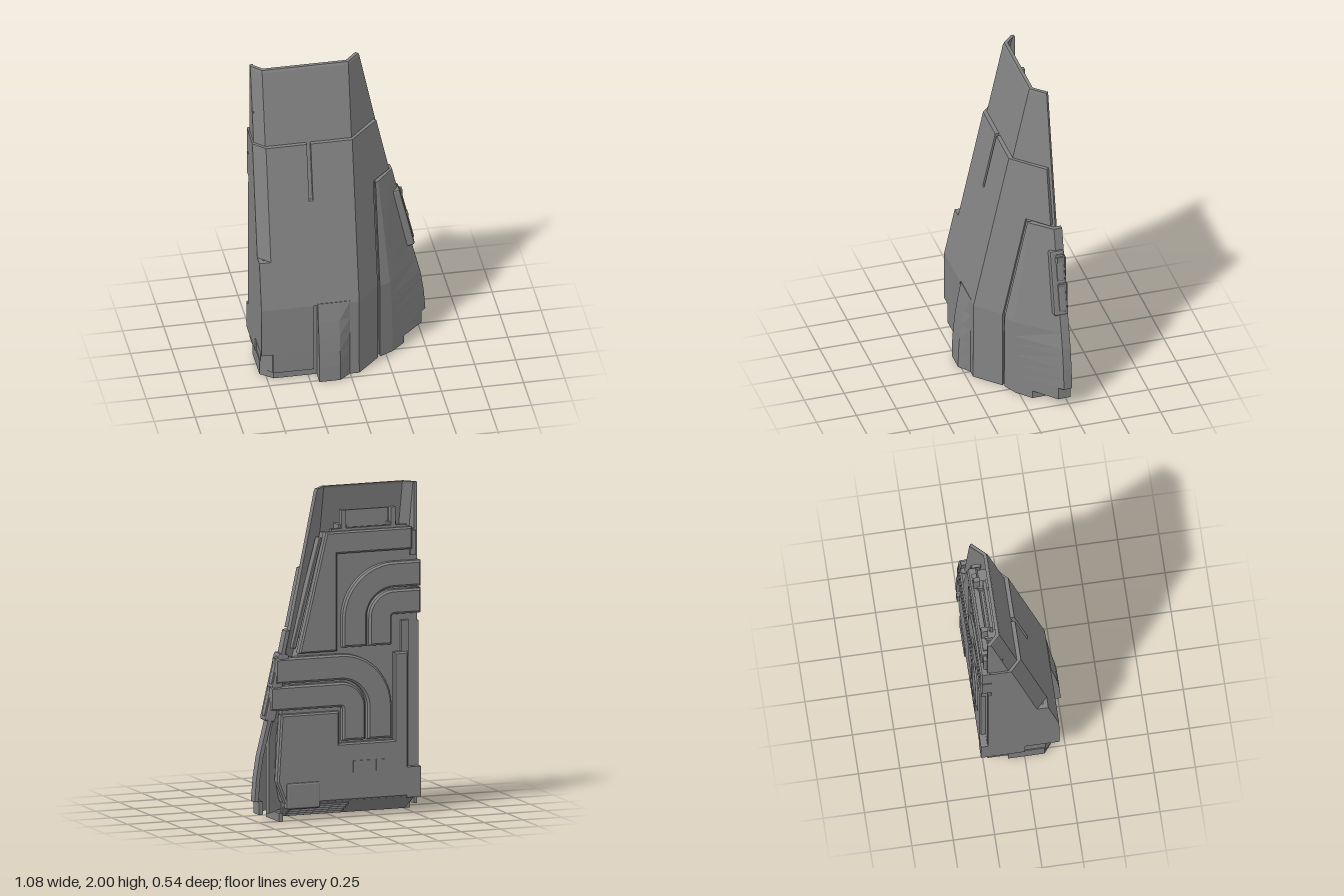
import * as THREE from 'three';
import { RoundedBoxGeometry } from 'three/addons/geometries/RoundedBoxGeometry.js';

const mat = new THREE.MeshStandardMaterial({ color: 0x828282, flatShading: true, side: THREE.DoubleSide });

export function createModel() {
  const group = new THREE.Group();
  const add = (name, geo) => {
    const m = new THREE.Mesh(geo, mat);
    m.name = name;
    group.add(m);
    return m;
  };
  const box = (name, x0, x1, y0, y1, z0, z1) =>
    add(name, new THREE.BoxGeometry(x1 - x0, y1 - y0, z1 - z0)
      .translate((x0 + x1) / 2, (y0 + y1) / 2, (z0 + z1) / 2));

  // Bent sheet: cols(y) gives the outer [x, z] line at each height, thickened inwards by t
  function plate(name, ys, cols, t = 0.028) {
    const rings = ys.map((y) => {
      const p = cols(y);
      const n = p.slice(1).map((q, i) => new THREE.Vector2(p[i][1] - q[1], q[0] - p[i][0]).normalize());
      const inner = p.map((q, i) => {
        const a = n[Math.max(i - 1, 0)], b = n[Math.min(i, n.length - 1)];
        const k = t / Math.max(1 + a.dot(b), 0.5);
        return [q[0] - (a.x + b.x) * k, q[1] - (a.y + b.y) * k];
      });
      return [...p, ...inner.reverse()].map(([x, z]) => [x, y, z]);
    });
    const pos = [], N = rings[0].length;
    const quad = (a, b, c, d) => pos.push(...a, ...b, ...c, ...a, ...c, ...d);
    for (let r = 0; r < rings.length - 1; r++)
      for (let i = 0; i < N; i++) {
        const j = (i + 1) % N;
        quad(rings[r][i], rings[r][j], rings[r + 1][j], rings[r + 1][i]);
      }
    const bot = rings[0], top = rings[rings.length - 1];
    for (let i = 0; i < N / 2 - 1; i++) {
      quad(top[i], top[i + 1], top[N - 2 - i], top[N - 1 - i]);
      quad(bot[i], bot[N - 1 - i], bot[N - 2 - i], bot[i + 1]);
    }
    const g = new THREE.BufferGeometry();
    g.setAttribute('position', new THREE.Float32BufferAttribute(pos, 3));
    g.computeVertexNormals();
    add(name, g);
  }

  // Outline in x, y pushed from z0 to z1 with a small bevel
  function slab(name, pts, z0, z1, b = 0.01) {
    const shape = new THREE.Shape(pts.map(([x, y]) => new THREE.Vector2(x, y)));
    const g = new THREE.ExtrudeGeometry(shape, {
      depth: z1 - z0 - 2 * b, bevelEnabled: b > 0, bevelThickness: b, bevelSize: b, bevelOffset: -b, bevelSegments: 1,
    });
    return add(name, g.translate(0, 0, z0 + b));
  }

  // Depth of the outer front face at a height
  const front = (y) => 0.21 - 0.218 * Math.max(y - 0.5, 0);

  // Inner shell, thin and open to the back
  plate('innerShell', [0.05, 0.5, 1.985, 2], (y) => {
    const z = front(y) - 0.024 - (y === 2 ? 0.004 : 0);
    return [[-0.53, -0.225], [-0.53, z - 0.06], [-0.47, z], [0.055, z], [0.055 + (z + 0.225) * 0.95, -0.225]];
  }, 0.02);

  // Outer front armour, split around the two slots
  const leftChamfer = (z) => [[-0.54, -0.2], [-0.54, z - 0.068], [-0.47, z]];
  const leftSquare = (z) => [[-0.54, -0.2], [-0.54, z]];
  const rightEdge = (z) => [[0.055, z], [0.195, z - 0.14]];
  const armour = (ys, cols) => plate('frontArmour', ys, (y) => cols(front(y)));
  armour([1.168, 1.525], (z) => [...leftChamfer(z), [-0.222, z]]);
  armour([1.168, 1.525], (z) => [[-0.198, z], [0.055, z], [0.25 + z, -0.195]]);
  armour([0.81, 1.168], (z) => [...leftChamfer(z), ...rightEdge(z)]);
  armour([0.51, 0.81], (z) => [...leftSquare(z), ...rightEdge(z)]);
  armour([0.19, 0.51], (z) => [...leftSquare(z), [-0.222, z]]);
  armour([0.06, 0.19], (z) => [[-0.47, z - 0.03], [-0.47, z], [-0.222, z]]);
  armour([0, 0.51], (z) => [[-0.198, z], ...rightEdge(z)]);

  // Flared ridge at the foot of the armour
  const flare = (y) => 0.058 * (1 - (y / 0.52) ** 2);
  plate('footRidge', [0, 0.1, 0.2, 0.3, 0.4, 0.52], (y) => {
    const z = 0.208, e = Math.max(flare(y), 0.001);
    return [[-0.198, z - 0.02], [-0.198, z + e], [-0.07, z + e], [0.0, z]];
  }, 0.015);

  // Side armour panel, bulging outwards towards the foot
  const lerpTable = (t, y) => {
    let i = 0;
    while (i < t.length - 2 && y > t[i + 1][0]) i++;
    const [a, b] = [t[i], t[i + 1]];
    return THREE.MathUtils.mapLinear(y, a[0], b[0], a[1], b[1]);
  };
  const edgeX = [[0, 0.54], [0.13, 0.538], [0.27, 0.527], [0.4, 0.507], [0.6, 0.457], [1.155, 0.335]];
  const foldX = [[0, 0.295], [0.35, 0.29], [0.7, 0.262], [1.155, 0.23]];
  const sidePanel = (ys, cut) => plate('sidePanel', ys, (y) => {
    const zg = front(y) - 0.15, fx = lerpTable(foldX, y), fz = zg - (fx - 0.21) * 0.5;
    const ex = lerpTable(edgeX, y), x = Math.min(ex, cut);
    const z = THREE.MathUtils.mapLinear(x, fx, ex, fz, -0.21);
    return [[0.21, zg - 0.1], [0.21, zg], [fx, fz], [x, z], [x - 0.004, Math.min(z - 0.03, -0.262)]];
  }, 0.025);
  sidePanel([0.13, 0.2, 0.27, 0.35, 0.4, 0.5, 0.6, 0.7, 1.155], 1);
  sidePanel([0.05, 0.13], 0.51);
  sidePanel([0, 0.05], 0.38);

  // Back body filling the shell
  slab('backBody', [[-0.525, 0.1], [0.32, 0.1], [0.37, 0.25], [0.34, 0.7], [0.21, 1.1], [0.06, 1.72], [-0.525, 1.72]], -0.225, -0.13, 0);
  slab('upperBackPlate', [[-0.485, 1.6], [0.0, 1.6], [0.0, 1.01], [0.245, 1.01], [0.07, 1.735], [-0.485, 1.735]], -0.262, -0.2);
  slab('lowerBackPlate', [[-0.46, 0.1], [0.33, 0.1], [0.385, 0.24], [0.36, 0.645], [-0.015, 0.645], [-0.015, 0.45],
    [-0.37, 0.45], [-0.37, 0.98], [-0.46, 0.98]], -0.262, -0.2);
  slab('sideStrip', [[0.255, 1.04], [0.28, 1.04], [0.105, 1.7], [0.085, 1.7]], -0.235, -0.17, 0.005);

  // Rails along the straight side
  box('innerRail', -0.465, -0.42, 0.95, 1.17, -0.25, -0.2);
  box('outerRail', -0.54, -0.46, 0.12, 1.16, -0.222, -0.02);
  box('railFoot', -0.54, -0.45, 0.095, 0.28, -0.265, 0.0);
  box('upperRail', -0.515, -0.48, 1.56, 1.71, -0.245, -0.15);

  // Twin flat pipes turning a quarter circle
  function pipePair(name, cx, cy, s, ends, yEnd) {
    [[0.33, 0.175], [0.16, 0.012]].forEach(([ro, ri], k) => {
      const arc = (r) => Array.from({ length: 13 }, (_, i) => {
        const a = (i / 12) * Math.PI / 2;
        return [cx - s * r * Math.sin(a), cy + r * Math.cos(a)];
      });
      slab(name, [[ends[k], cy + ro], ...arc(ro), [cx - s * ro, yEnd], [cx - s * ri, yEnd],
        ...arc(ri).reverse(), [ends[k], cy + ri]], -0.268, -0.2, 0.012);
    });
  }
  pipePair('lowerPipe', -0.022, 0.66, 1, [0.4, 0.435], 0.465);
  pipePair('upperPipe', -0.365, 1.2, -1, [-0.54, -0.54], 1.03);
  for (const y of [1.29, 1.45]) box('upperPipeEnd', -0.54, -0.48, y - 0.075, y + 0.075, -0.255, -0.15);

  // Tilted pipe outlet on the side panel
  const outlet = new THREE.Group();
  outlet.name = 'pipeOutlet';
  const part = (name, w, h, d, x, y, z) => {
    const m = new THREE.Mesh(new RoundedBoxGeometry(w, h, d, 1, 0.012), mat);
    m.name = name;
    m.position.set(x, y, z);
    outlet.add(m);
  };
  part('outletFrame', 0.07, 0.415, 0.09, -0.006, 0, 0);
  for (const y of [-0.098, 0.098]) part('outletCell', 0.06, 0.175, 0.05, 0.007, y, -0.012);
  outlet.position.set(0.394, 0.815, -0.217);
  outlet.rotation.z = 0.23;
  group.add(outlet);

  // Small details on the lower back
  add('backHatch', new RoundedBoxGeometry(0.22, 0.16, 0.05, 1, 0.012).translate(0.22, 0.15, -0.245));
  for (let i = 0; i < 3; i++) box('ventBar', -0.12 - i * 0.045, -0.1 - i * 0.045, 0.27, 0.34, -0.268, -0.25);
  box('ventBlock', -0.305, -0.25, 0.27, 0.34, -0.268, -0.25);

  // Posts and cross plate in the open top
  for (const x of [-0.37, -0.05]) {
    box('topPost', x - 0.014, x + 0.014, 1.7, 1.86, -0.24, -0.2);
    box('postFoot', x - 0.025, x + 0.025, 1.7, 1.77, -0.22, -0.14);
  }
  box('topCrossPlate', -0.36, -0.06, 1.7, 1.85, -0.185, -0.165);
  box('topLedge', -0.46, 0.03, 1.7, 1.75, -0.24, -0.21);

  // Base cap, with a sloped rear face carrying louvres
  const cap = [[-0.535, -0.1], [-0.535, 0.12], [-0.46, 0.18], [0.06, 0.18], [0.3, -0.05], [0.34, -0.1]];
  slab('baseCap', cap.map(([x, z]) => [x, -z]), 0.004, 0.1, 0).geometry.rotateX(-Math.PI / 2);
  const slope = (y) => -0.1 - 1.55 * y;
  plate('baseSlope', [0.004, 0.1], (y) => [[0.33, slope(y)], [-0.5, slope(y)]], 0.02);
  for (let i = 0; i < 5; i++) {
    const y = 0.018 + i * 0.016;
    box('louvre', -0.08, 0.28, y - 0.007, y + 0.004, slope(y) - 0.014, slope(y) + 0.01);
  }
  return group;
}
